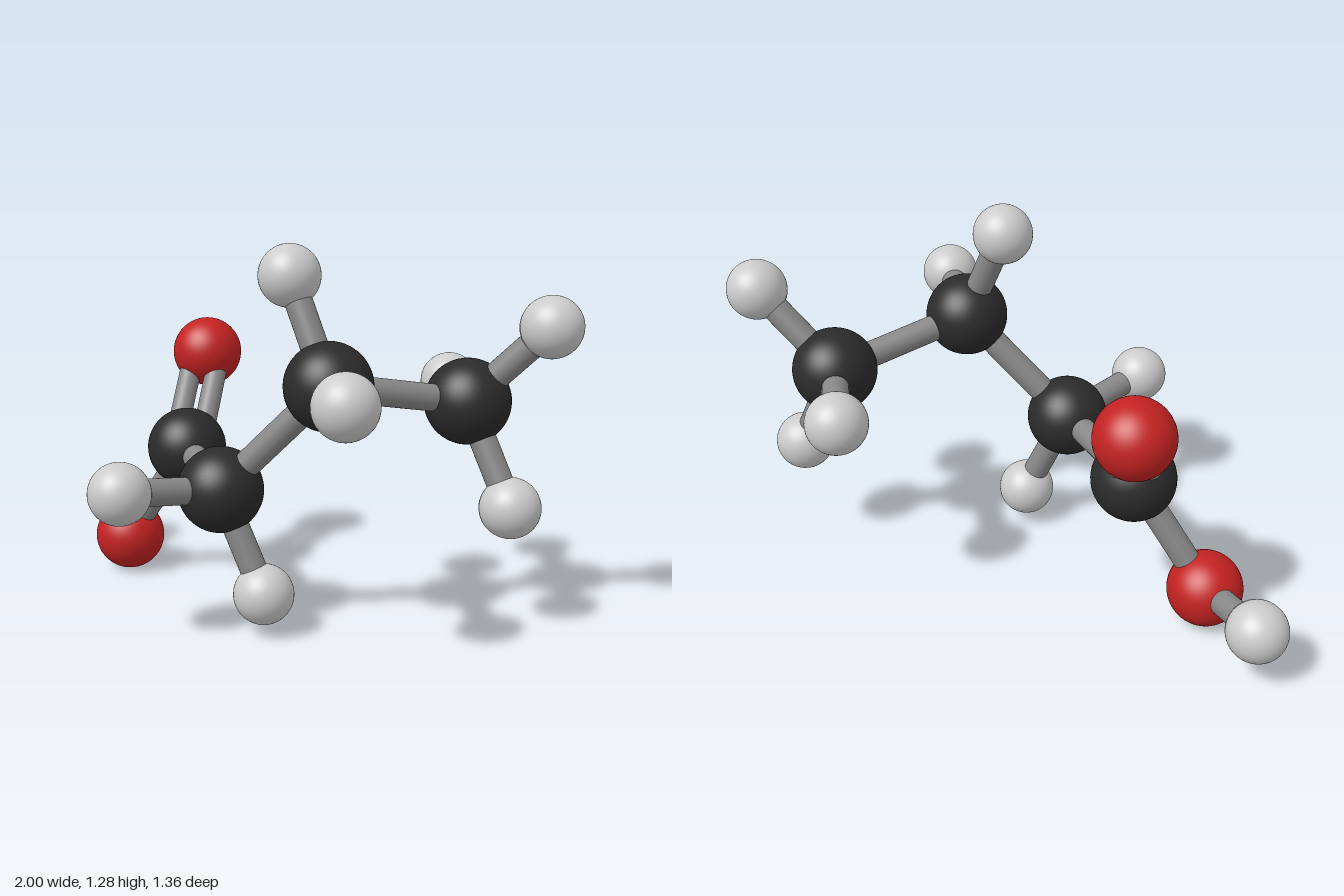
import * as THREE from 'three';

// Ball types: radius and colour
const kinds = {
  carbon: { r: 0.143, color: 0x2b2b2b },
  oxygen: { r: 0.129, color: 0xc42222 },
  hydrogen: { r: 0.101, color: 0xcccccc },
};

// Balls: name, kind, centre
const balls = [
  ['carboxylCarbon', 'carbon', -0.392, 0.507, -0.095],
  ['secondCarbon', 'carbon', 0, 0.478, 0.235],
  ['thirdCarbon', 'carbon', 0.358, 0.845, 0.152],
  ['endCarbon', 'carbon', 0.636, 0.761, -0.275],
  ['doubleOxygen', 'oxygen', -0.486, 0.822, -0.352],
  ['acidOxygen', 'oxygen', -0.657, 0.132, -0.075],
  ['acidHydrogen', 'hydrogen', -0.901, 0.197, -0.295],
  ['secondHydrogenFront', 'hydrogen', -0.141, 0.518, 0.577],
  ['secondHydrogenLow', 'hydrogen', 0.155, 0.14, 0.211],
  ['thirdHydrogenTop', 'hydrogen', 0.198, 1.181, 0.131],
  ['thirdHydrogenFront', 'hydrogen', 0.59, 0.854, 0.444],
  ['endHydrogenTop', 'hydrogen', 0.898, 1.021, -0.312],
  ['endHydrogenLow', 'hydrogen', 0.807, 0.428, -0.257],
  ['endHydrogenBack', 'hydrogen', 0.422, 0.764, -0.582],
];

// Single bonds, as pairs of ball indices
const bonds = [
  [0, 1], [1, 2], [2, 3], [0, 5], [5, 6], [1, 7], [1, 8],
  [2, 9], [2, 10], [3, 11], [3, 12], [3, 13],
];

const UP = new THREE.Vector3(0, 1, 0);

// Rod between two points
function rod(a, b, radius, material, name) {
  const dir = b.clone().sub(a);
  const mesh = new THREE.Mesh(new THREE.CylinderGeometry(radius, radius, dir.length(), 32), material);
  mesh.position.copy(a).add(b).multiplyScalar(0.5);
  mesh.quaternion.setFromUnitVectors(UP, dir.normalize());
  mesh.name = name;
  return mesh;
}

export function createModel() {
  const model = new THREE.Group();
  model.name = 'ballAndStickMolecule';

  // Shared sphere and material for each kind
  const parts = {};
  for (const [kind, { r, color }] of Object.entries(kinds)) {
    parts[kind] = [
      new THREE.SphereGeometry(r, 48, 32),
      new THREE.MeshStandardMaterial({ color }),
    ];
  }

  const centres = balls.map(([name, kind, x, y, z]) => {
    const mesh = new THREE.Mesh(...parts[kind]);
    mesh.position.set(x, y, z);
    mesh.name = name;
    model.add(mesh);
    return mesh.position;
  });

  // Single bonds
  const bondMaterial = new THREE.MeshStandardMaterial({ color: 0x888888 });
  for (const [i, j] of bonds) {
    model.add(rod(centres[i], centres[j], 0.045, bondMaterial, 'bond'));
  }

  // Double bond: two parallel rods set apart horizontally
  const [a, b] = [centres[0], centres[4]];
  const side = b.clone().sub(a).cross(UP).normalize();
  for (const s of [-0.05, 0.05]) {
    const shift = side.clone().multiplyScalar(s);
    model.add(rod(a.clone().add(shift), b.clone().add(shift), 0.04, bondMaterial, 'doubleBond'));
  }

  return model;
}
